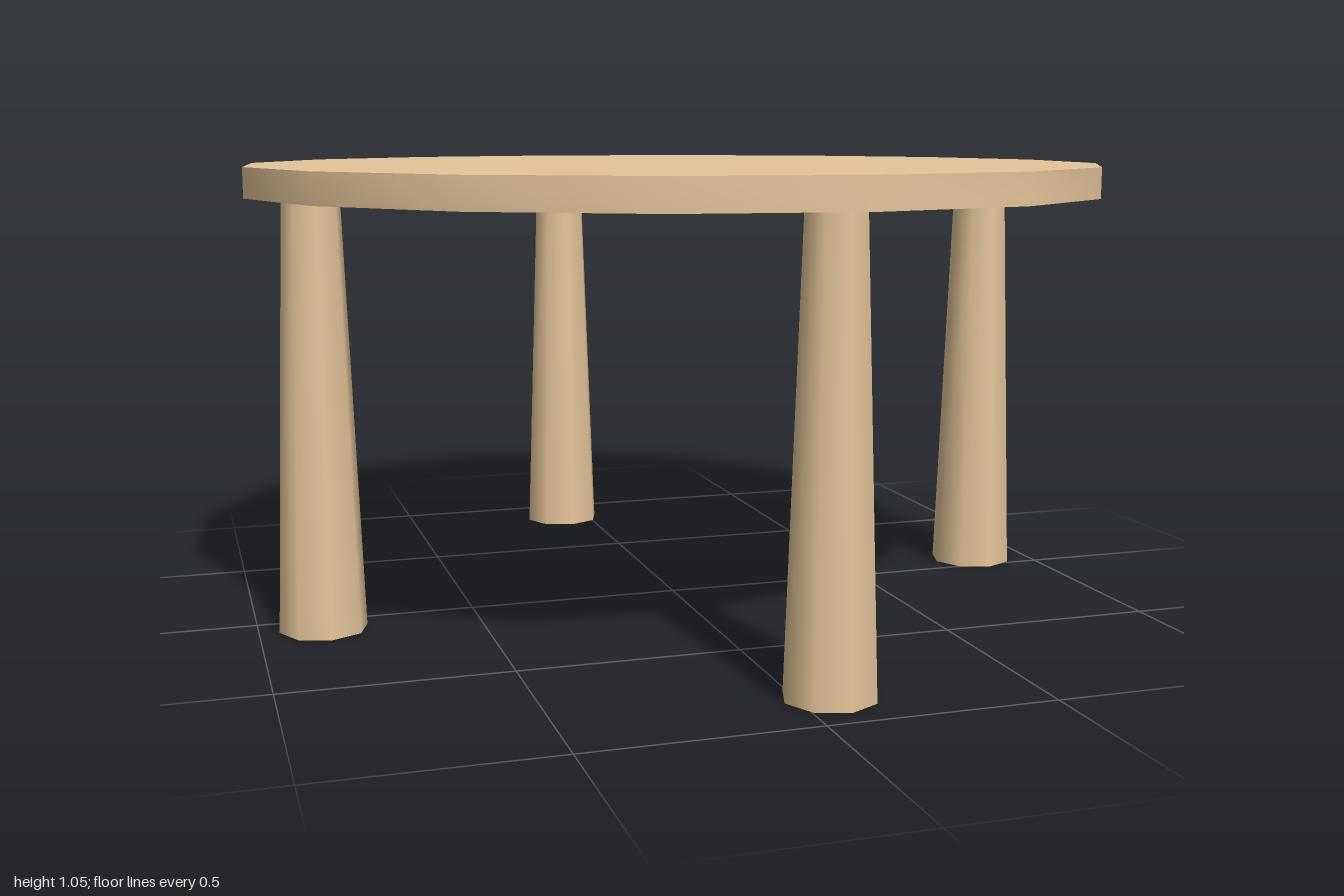
import * as THREE from 'three';
import { toCreasedNormals } from 'three/addons/utils/BufferGeometryUtils.js';

export function createModel() {
  const table = new THREE.Group();
  table.name = 'roundTable';

  const wood = new THREE.MeshStandardMaterial({ color: 0xe4c498, side: THREE.DoubleSide });
  wood.name = 'lightWood';

  const rimBottom = 0.98;

  // Sixteen-sided hollow top: narrow bottom flange, outer edge, flat top
  const profile = [
    [0.928, rimBottom], [1.0035, rimBottom], [1.0035, 1.048], [0, 1.048],
  ].map(([r, y]) => new THREE.Vector2(r, y));
  const top = new THREE.Mesh(
    toCreasedNormals(new THREE.LatheGeometry(profile, 16), 0.6), wood);
  top.name = 'tabletop';
  table.add(top);

  // Four tapered hollow legs, open at the foot, ending level with the flange
  const legs = new THREE.Group();
  legs.name = 'legs';
  legs.position.set(-0.003, 0, -0.004);
  const legShape = new THREE.CylinderGeometry(0.065, 0.1, rimBottom, 8, 1, true);
  for (let i = 0; i < 4; i++) {
    const angle = i * Math.PI / 2;
    const leg = new THREE.Mesh(legShape, wood);
    leg.name = 'leg' + (i + 1);
    leg.position.set(0.855 * Math.sin(angle), rimBottom / 2, 0.855 * Math.cos(angle));
    legs.add(leg);
  }
  table.add(legs);

  // The whole table is turned slightly about its axis
  table.rotation.y = 0.083;

  const model = new THREE.Group();
  model.name = 'table';
  model.add(table);
  return model;
}
